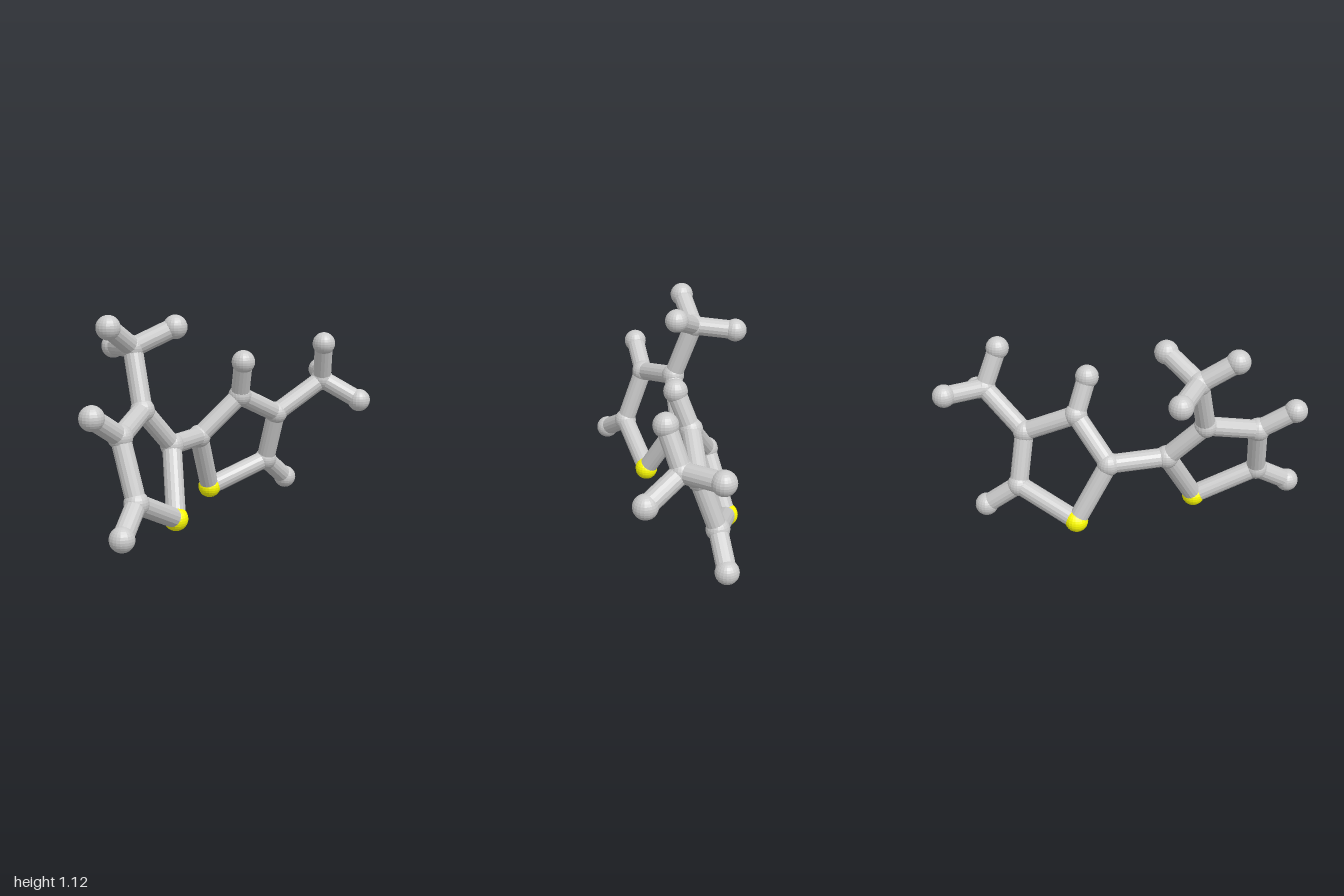
import * as THREE from 'three';

const BALL_RADIUS = 0.063;
const STICK_RADIUS = 0.051;

// Atom centres: two five-sided rings, each with a methyl branch
const atoms = {
  // left-hand ring in front view
  sulfurA: [-0.415, 0.09, 0.10],
  carbonA2: [-0.265, 0.425, -0.055],
  carbonA3: [-0.465, 0.635, -0.075],
  carbonA4: [-0.745, 0.56, 0.035],
  carbonA5: [-0.755, 0.25, 0.145],
  hydrogenA4: [-0.935, 0.68, 0.035],
  hydrogenA5: [-0.937, 0.13, 0.22],
  methylA: [-0.42, 0.94, -0.18],
  methylA_H1: [-0.61, 1.06, -0.165],
  methylA_H2: [-0.25, 1.04, -0.04],
  methylA_H3: [-0.335, 0.922, -0.397],
  // right-hand ring in front view
  sulfurB: [0.21, 0.085, -0.19],
  carbonB2: [0.04, 0.41, -0.125],
  carbonB3: [0.225, 0.625, 0.012],
  carbonB4: [0.51, 0.49, 0.05],
  carbonB5: [0.54, 0.205, -0.043],
  hydrogenB3: [0.168, 0.823, 0.078],
  hydrogenB5: [0.725, 0.065, -0.037],
  methylB: [0.745, 0.67, 0.2],
  methylB_H1: [0.67, 0.885, 0.258],
  methylB_H2: [0.937, 0.69, 0.053],
  methylB_H3: [0.827, 0.558, 0.397],
};

const bonds = [['carbonA2', 'carbonB2']];
for (const r of ['A', 'B']) {
  // ring outline
  const ring = ['sulfur' + r, ...[2, 3, 4, 5].map((n) => `carbon${r}${n}`)];
  ring.forEach((name, i) => bonds.push([name, ring[(i + 1) % ring.length]]));
  // methyl hydrogens
  for (const n of [1, 2, 3]) bonds.push([`methyl${r}`, `methyl${r}_H${n}`]);
}
// branches
bonds.push(
  ['carbonA3', 'methylA'], ['carbonA4', 'hydrogenA4'], ['carbonA5', 'hydrogenA5'],
  ['carbonB4', 'methylB'], ['carbonB3', 'hydrogenB3'], ['carbonB5', 'hydrogenB5'],
);

export function createModel() {
  const model = new THREE.Group();
  model.name = 'molecule';
  const grey = new THREE.MeshStandardMaterial({ color: 0xcccccc, flatShading: true });
  const yellow = new THREE.MeshStandardMaterial({ color: 0xffff00, flatShading: true });

  // Balls at the atoms
  const ball = new THREE.SphereGeometry(BALL_RADIUS, 20, 14);
  for (const [name, position] of Object.entries(atoms)) {
    const mesh = new THREE.Mesh(ball, name.startsWith('sulfur') ? yellow : grey);
    mesh.name = name;
    mesh.position.set(...position);
    model.add(mesh);
  }

  // Sticks between bonded atoms
  const up = new THREE.Vector3(0, 1, 0);
  for (const [from, to] of bonds) {
    const a = new THREE.Vector3(...atoms[from]);
    const b = new THREE.Vector3(...atoms[to]);
    const length = a.distanceTo(b);
    const stick = new THREE.Mesh(
      new THREE.CylinderGeometry(STICK_RADIUS, STICK_RADIUS, length, 16), grey);
    stick.name = `bond ${from} to ${to}`;
    stick.position.lerpVectors(a, b, 0.5);
    stick.quaternion.setFromUnitVectors(up, b.sub(a).normalize());
    model.add(stick);
  }
  return model;
}
